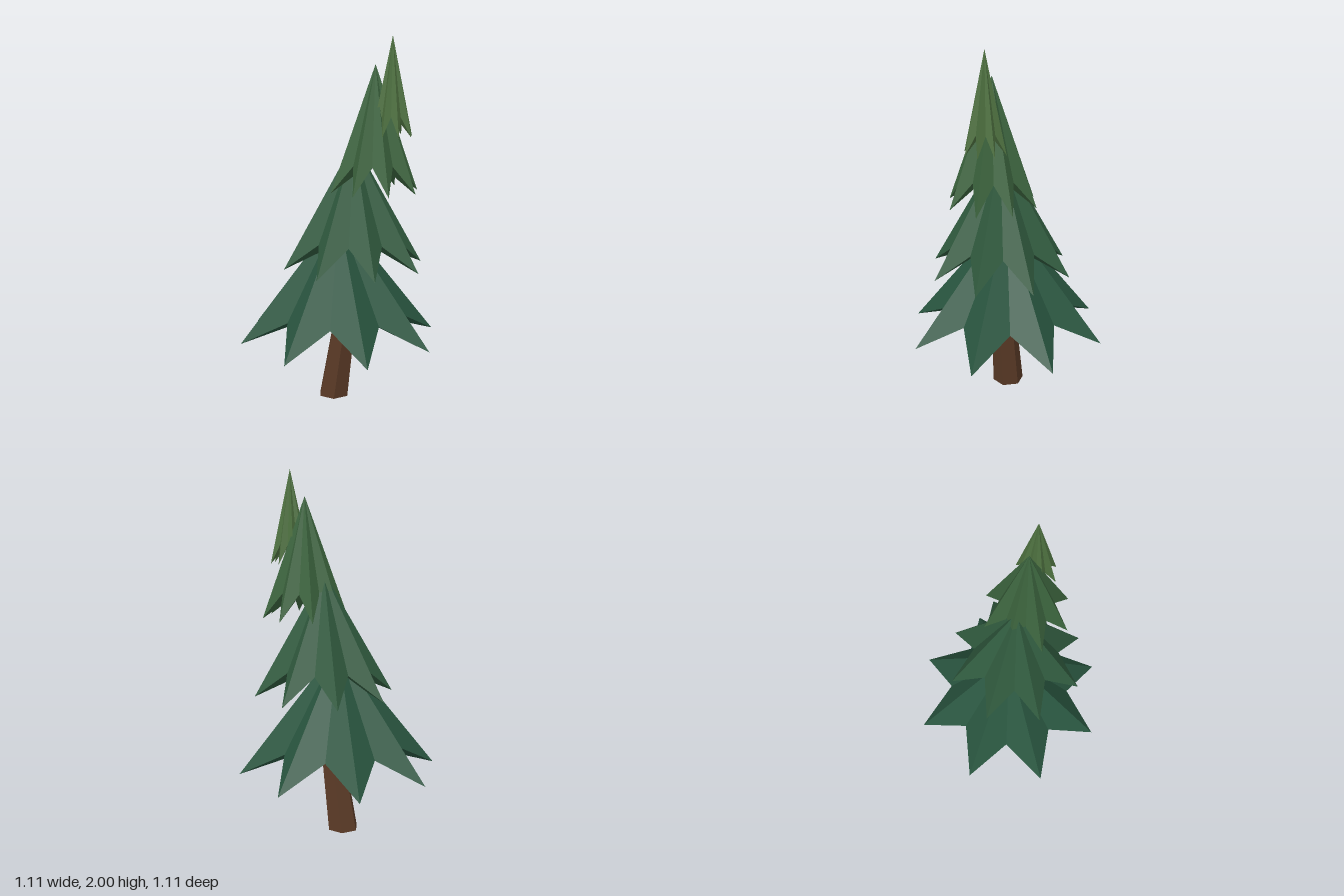
import * as THREE from 'three';

const POINTS = 8; // star points around each tier of branches

// Star-shaped cone: ridges run to low tips, valleys end higher up, and the underside is hollowed
function tierGeometry({ apex, tip, valley, radius, inner }) {
  const rim = (i) => {
    const a = (i * Math.PI) / POINTS;
    const isTip = i % 2 === 0;
    const r = isTip ? radius : inner;
    return [r * Math.cos(a), isTip ? tip : valley, -r * Math.sin(a)];
  };
  const positions = [];
  for (let i = 0; i < POINTS * 2; i++) {
    const a = rim(i), b = rim(i + 1);
    positions.push(0, apex, 0, ...a, ...b);         // upper face
    positions.push(0, valley + 0.02, 0, ...b, ...a); // underside
  }
  const geometry = new THREE.BufferGeometry();
  geometry.setAttribute('position', new THREE.Float32BufferAttribute(positions, 3));
  geometry.computeVertexNormals();
  return geometry;
}

// Six-sided tapering trunk, sheared so that it leans while its ends stay level
function trunkGeometry() {
  const height = 0.62;
  const geometry = new THREE.CylinderGeometry(0.06, 0.088, height, 6, 1);
  geometry.rotateY(Math.PI / 2);
  geometry.translate(0, height / 2, 0);
  const p = geometry.attributes.position;
  for (let i = 0; i < p.count; i++) p.setX(i, p.getX(i) - 0.027 + 0.158 * p.getY(i));
  geometry.computeVertexNormals();
  return geometry;
}

export function createModel() {
  const tree = new THREE.Group();
  tree.name = 'leaningPine';

  const add = (name, geometry, color, x = 0) => {
    const material = new THREE.MeshStandardMaterial({ color, flatShading: true });
    const mesh = new THREE.Mesh(geometry, material);
    mesh.name = name;
    mesh.position.x = x;
    tree.add(mesh);
  };

  add('trunk', trunkGeometry(), 0x5a3a26);

  // Branch tiers from bottom to top, drifting toward +x
  const tiers = [
    { name: 'bottomBranches', x: 0.006, apex: 1.05, tip: 0.35, valley: 0.49, radius: 0.556, inner: 0.348, color: 0x29553f },
    { name: 'lowerBranches', x: 0.1, apex: 1.45, tip: 0.77, valley: 0.915, radius: 0.39, inner: 0.237, color: 0x305a3e },
    { name: 'upperBranches', x: 0.225, apex: 1.855, tip: 1.19, valley: 1.335, radius: 0.24, inner: 0.145, color: 0x3b633d },
    { name: 'topBranches', x: 0.323, apex: 2, tip: 1.485, valley: 1.59, radius: 0.112, inner: 0.067, color: 0x4d703f },
  ];
  for (const tier of tiers) add(tier.name, tierGeometry(tier), tier.color, tier.x);

  return tree;
}
